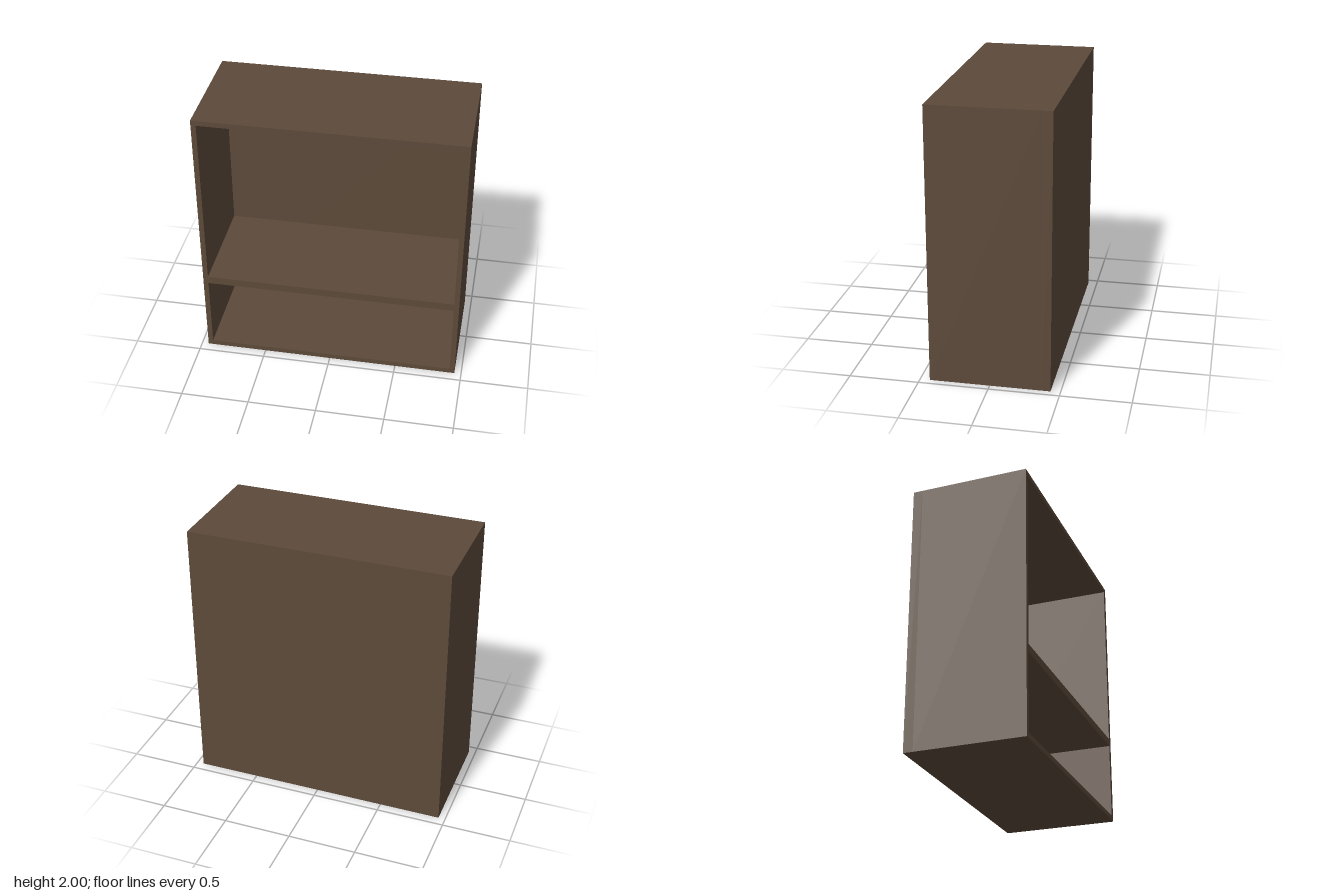
import * as THREE from 'three';

const W = 1.9, H = 2, D = 0.86; // outer size
const BACK = 0.07;              // back panel thickness
const INNER_X = 0.913;          // half width of the openings

// Rectangle outline, counter-clockwise
function rect(PathType, x0, y0, x1, y1) {
  const p = new PathType();
  p.moveTo(x0, y0);
  p.lineTo(x1, y0);
  p.lineTo(x1, y1);
  p.lineTo(x0, y1);
  p.closePath();
  return p;
}

export function createModel() {
  const group = new THREE.Group();
  group.name = 'shelfCabinet';
  const wood = new THREE.MeshStandardMaterial({ color: 0x5c4a3a });
  wood.name = 'dark brown wood';

  // Frame: sides, top, bottom and the shelf between the two openings
  const outline = rect(THREE.Shape, -W / 2, 0, W / 2, H);
  for (const [y0, y1] of [[0.038, 0.602], [0.66, 1.963]]) {
    outline.holes.push(rect(THREE.Path, -INNER_X, y0, INNER_X, y1));
  }
  const frame = new THREE.Mesh(
    new THREE.ExtrudeGeometry(outline, { depth: D - BACK, bevelEnabled: false }), wood);
  frame.name = 'frameWithShelf';
  frame.position.z = -D / 2 + BACK;
  group.add(frame);

  // Back panel closing the frame
  const back = new THREE.Mesh(new THREE.BoxGeometry(W, H, BACK), wood);
  back.name = 'backPanel';
  back.position.set(0, H / 2, -D / 2 + BACK / 2);
  group.add(back);

  return group;
}
